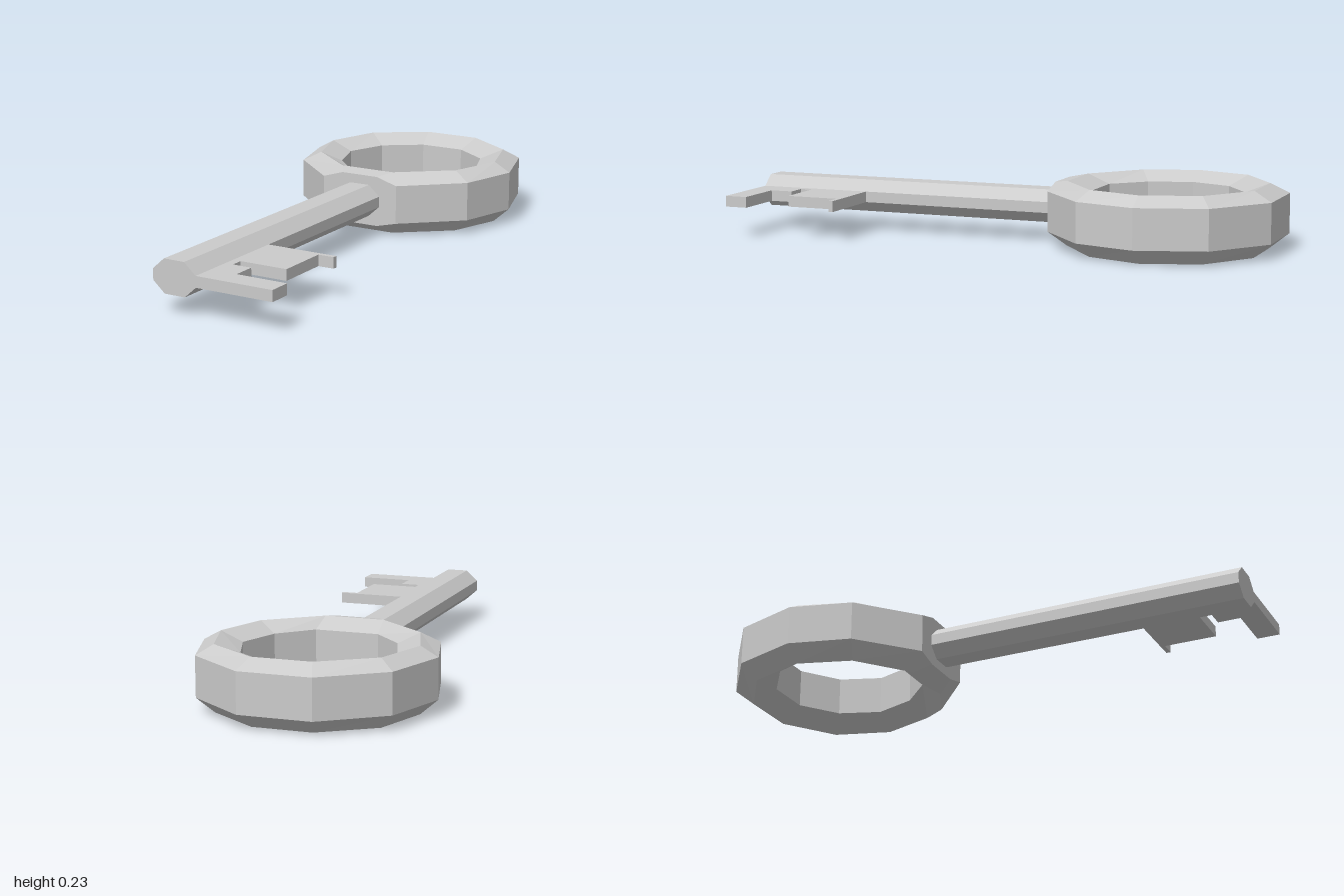
import * as THREE from 'three';

const material = new THREE.MeshStandardMaterial({ color: 0xcccccc, flatShading: true });

function addMesh(parent, name, geometry) {
  const mesh = new THREE.Mesh(geometry, material);
  mesh.name = name;
  parent.add(mesh);
}

function extrude(points, depth) {
  const shape = new THREE.Shape(points.map(([x, y]) => new THREE.Vector2(x, y)));
  return new THREE.ExtrudeGeometry(shape, { depth, bevelEnabled: false });
}

// Ring handle: a hexagonal section carried around ten corners,
// with two extra stations that swell the front side into a socket.
function bowGeometry() {
  // outer x, z; ridge x, z; inner x, z; outer low and high y
  const half = [
    [0.075, -0.188, 0.11, -0.247, 0.116, -0.327, 0.035, 0.225],
    [0.157, -0.188, 0.11, -0.247, 0.116, -0.327, 0.055, 0.2],
    [0.362, -0.37, 0.297, -0.398, 0.228, -0.44, 0.055, 0.2],
    [0.425, -0.597, 0.362, -0.597, 0.28, -0.597, 0.055, 0.2],
    [0.348, -0.841, 0.296, -0.803, 0.223, -0.75, 0.055, 0.2],
    [0.132, -1, 0.108, -0.933, 0.086, -0.848, 0.055, 0.2],
  ];
  const mirrored = half.map(([ox, oz, rx, rz, ix, iz, lo, hi]) => [-ox, oz, -rx, rz, -ix, iz, lo, hi]);
  const rings = [...half, ...mirrored.reverse()].map(([ox, oz, rx, rz, ix, iz, lo, hi]) => [
    [ox, lo, oz], [ox, hi, oz], [rx, 0.235, rz],
    [ix, 0.2, iz], [ix, 0.055, iz], [rx, 0, rz],
  ].map((p) => new THREE.Vector3(...p)));

  const corners = [];
  const triangle = (a, b, c) => {
    if (!a.equals(b) && !b.equals(c) && !c.equals(a)) corners.push(a, b, c);
  };
  rings.forEach((ring, i) => {
    const next = rings[(i + 1) % rings.length];
    for (let k = 0; k < 6; k++) {
      const m = (k + 1) % 6;
      triangle(ring[k], next[k], next[m]);
      triangle(ring[k], next[m], ring[m]);
    }
  });
  const geometry = new THREE.BufferGeometry().setFromPoints(corners);
  geometry.computeVertexNormals();
  return geometry;
}

export function createModel() {
  const key = new THREE.Group();
  key.name = 'key';

  addMesh(key, 'ringHandle', bowGeometry());

  // Eight-sided shaft
  const shaft = extrude([
    [0.04, 0.07], [0.085, 0.11], [0.085, 0.15], [0.04, 0.19],
    [-0.04, 0.19], [-0.085, 0.15], [-0.085, 0.11], [-0.04, 0.07],
  ], 1.19);
  shaft.translate(0, 0, -0.19);
  addMesh(key, 'shaft', shaft);

  // Notched bit, drawn flat in x and z
  const bit = extrude([
    [0.084, 0.57], [0.355, 0.57], [0.355, 0.587], [0.295, 0.587],
    [0.295, 0.785], [0.115, 0.785], [0.115, 0.83], [0.187, 0.83],
    [0.187, 0.915], [0.38, 0.915], [0.38, 1], [0.084, 1],
  ], 0.04);
  bit.rotateX(Math.PI / 2).translate(0, 0.15, 0);
  addMesh(key, 'bit', bit);

  return key;
}
